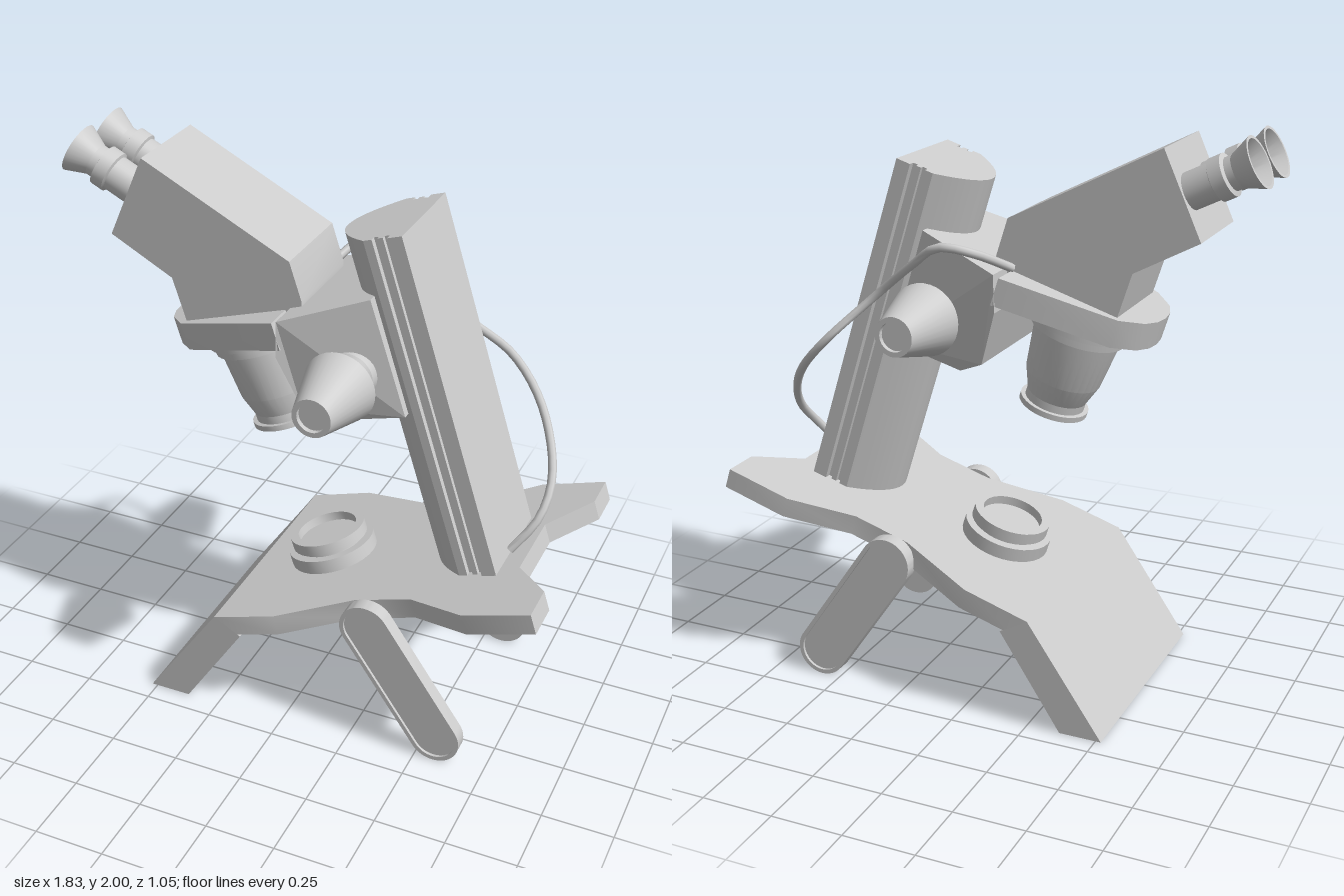
import * as THREE from 'three';
import { toCreasedNormals } from 'three/addons/utils/BufferGeometryUtils.js';

const material = new THREE.MeshStandardMaterial({ color: 0xcccccc });
const TILT = 0.305;

function add(parent, name, geometry, crease = 0.6) {
  const mesh = new THREE.Mesh(toCreasedNormals(geometry, crease), material);
  mesh.name = name;
  parent.add(mesh);
  return mesh;
}

const shapeOf = (pts) => new THREE.Shape(pts.map(([x, y]) => new THREE.Vector2(x, y)));

// Side profile (x, y), extruded symmetrically about z = 0
function sideSlab(pts, halfWidth) {
  const g = new THREE.ExtrudeGeometry(shapeOf(pts), { depth: 2 * halfWidth, bevelEnabled: false });
  return g.translate(0, 0, -halfWidth);
}

// Half of a plan outline (x, z), mirrored in z and extruded from bottom to top
function planSlab(half, bottom, top) {
  const mirrored = half.filter(([, z]) => z > 0).map(([x, z]) => [x, -z]).reverse();
  const g = new THREE.ExtrudeGeometry(shapeOf([...half, ...mirrored]), {
    depth: top - bottom, bevelEnabled: false,
  });
  return g.rotateX(Math.PI / 2).translate(0, top, 0);
}

// Turned part from [radius, height] pairs
const turned = (pts) => new THREE.LatheGeometry(pts.map(([r, h]) => new THREE.Vector2(r, h)), 32);

// Stadium outline along y with its upper centre at the origin
function stadium(r, length, PathType = THREE.Shape) {
  const s = new PathType();
  s.absarc(0, 0, r, 0, Math.PI, false);
  s.absarc(0, -length, r, Math.PI, 2 * Math.PI, false);
  s.closePath();
  return s;
}

export function createModel() {
  const model = new THREE.Group();
  model.name = 'microscope';

  // Everything square to the sloping base plate
  const tilted = new THREE.Group();
  tilted.name = 'tiltedBody';
  tilted.position.set(-0.25, 0.39, 0);
  tilted.rotation.z = TILT;
  model.add(tilted);

  // Base plate with waist and notched rear, and the slanted front foot
  add(tilted, 'basePlate', planSlab([
    [0, 0.43], [0.24, 0.43], [0.52, 0.33], [0.73, 0.33], [0.955, 0.43],
    [1.197, 0.43], [1.197, 0.29], [1.06, 0.14],
  ], -0.073, 0));
  add(model, 'frontFoot', sideSlab([[-0.25, 0.39], [-0.52, 0], [-0.37, 0], [-0.15, 0.335]], 0.43));

  // Swivel legs: rounded bars with a shallow recess on the outer face
  for (const side of [1, -1]) {
    const leg = new THREE.Group();
    leg.name = side > 0 ? 'leftLeg' : 'rightLeg';
    leg.position.set(0.305, 0.477, side * 0.34);
    leg.rotation.z = 0.6;
    model.add(leg);
    const length = 0.468;
    const rim = stadium(0.092, length);
    rim.holes.push(stadium(0.077, length, THREE.Path));
    const place = (g, depth) => g.translate(0, 0, side > 0 ? 0 : -depth);
    const opts = (depth) => ({ depth, bevelEnabled: false, curveSegments: 16 });
    add(leg, 'legRim', place(new THREE.ExtrudeGeometry(rim, opts(0.052)), 0.052));
    add(leg, 'legPanel', place(new THREE.ExtrudeGeometry(stadium(0.077, length), opts(0.042)), 0.042));
    const hub = add(leg, 'legPivot', new THREE.CylinderGeometry(0.05, 0.05, 0.04, 24));
    hub.rotation.x = Math.PI / 2;
    hub.position.z = -side * 0.015;
  }

  // Stage light: stepped disc with a recessed lens
  add(tilted, 'stageLight', turned([
    [0, 0], [0.158, 0], [0.158, 0.05], [0.125, 0.05], [0.125, 0.06], [0.138, 0.06],
    [0.138, 0.102], [0.108, 0.102], [0.108, 0.07], [0, 0.07],
  ])).position.x = 0.288;

  // Column: bowed front, narrow rail, flat back
  const bow = [];
  for (let i = 0; i <= 8; i++) {
    const z = 0.185 * i / 8;
    bow.push([0.72 + 0.135 * (z / 0.185) ** 2, z]);
  }
  add(tilted, 'columnFront', planSlab([...bow, [0.885, 0.185]], 0, 1.222));
  add(tilted, 'columnRail', planSlab([[0.88, 0.165], [0.945, 0.165]], 0, 1.222));
  add(tilted, 'columnRib', planSlab([[0.903, 0.18], [0.922, 0.18]], 0, 1.222));
  add(tilted, 'columnBack', planSlab([[0.94, 0.19], [0.992, 0.19]], 0, 1.222));

  // Arm plate with rounded nose
  add(tilted, 'armPlate', planSlab([
    [0, 0], [0.006, 0.06], [0.03, 0.12], [0.1, 0.19], [0.5, 0.278],
  ], 0.92, 1.018));

  // Focus housing: narrows toward the column and the underside
  const housing = sideSlab([
    [0.52, 1.022], [0.478, 0.9], [0.485, 0.69], [0.563, 0.62], [0.83, 0.61], [0.83, 1.03],
  ], 1);
  const p = housing.attributes.position;
  for (let i = 0; i < p.count; i++) {
    const taper = 0.28 - (p.getX(i) - 0.52) * 0.26;
    const under = 0.195 + (p.getY(i) - 0.62) * 0.5;
    p.setZ(i, p.getZ(i) * Math.max(0.194, Math.min(0.28, taper, under)));
  }
  add(tilted, 'focusHousing', housing, 0.1);

  // Focus knobs
  for (const side of [1, -1]) {
    const knob = add(model, side > 0 ? 'leftKnob' : 'rightKnob', turned([
      [0, 0.17], [0.08, 0.17], [0.09, 0.21], [0.085, 0.235], [0.07, 0.25], [0.125, 0.31],
      [0.067, 0.527], [0.05, 0.527], [0.05, 0.51], [0, 0.51],
    ]), 0.5);
    knob.position.set(0.175, 1.35, 0);
    knob.rotation.x = side * Math.PI / 2;
  }

  // Objective under the arm plate
  add(tilted, 'objective', turned([
    [0, 0.557], [0.121, 0.557], [0.121, 0.577], [0.105, 0.577], [0.105, 0.605], [0.132, 0.68],
    [0.152, 0.855], [0.168, 0.855], [0.168, 0.885], [0.184, 0.885], [0.184, 0.925], [0, 0.925],
  ]), 0.25).position.x = 0.272;

  // Viewing head
  add(model, 'head', sideSlab([
    [-0.59, 1.953], [-0.72, 1.665], [-0.497, 1.545], [-0.444, 1.38], [-0.02, 1.515], [-0.02, 1.55],
    [-0.063, 1.685],
  ], 0.17));

  // Twin eyepieces with flared hollow cups
  for (const side of [1, -1]) {
    const eyepiece = add(model, side > 0 ? 'leftEyepiece' : 'rightEyepiece', turned([
      [0, -0.05], [0.062, -0.05], [0.062, 0.09], [0.072, 0.095], [0.072, 0.14], [0.056, 0.145],
      [0.056, 0.17], [0.088, 0.243], [0.078, 0.243], [0.048, 0.18], [0, 0.18],
    ]), 0.4);
    eyepiece.position.set(-0.656, 1.81, side * 0.094);
    eyepiece.rotation.z = 1.108;
  }

  // Power cable from the arm round to the base
  const path = new THREE.CatmullRomCurve3([
    [-0.08, 1.52, -0.17], [0, 1.59, -0.3], [0.1, 1.61, -0.345], [0.22, 1.53, -0.3],
    [0.38, 1.4, -0.255], [0.55, 1.23, -0.34], [0.68, 1.09, -0.28], [0.775, 0.92, -0.13],
    [0.77, 0.81, -0.02], [0.695, 0.7, 0.045],
  ].map((v) => new THREE.Vector3(...v)));
  add(model, 'cable', new THREE.TubeGeometry(path, 36, 0.015, 8), 1);

  return model;
}
